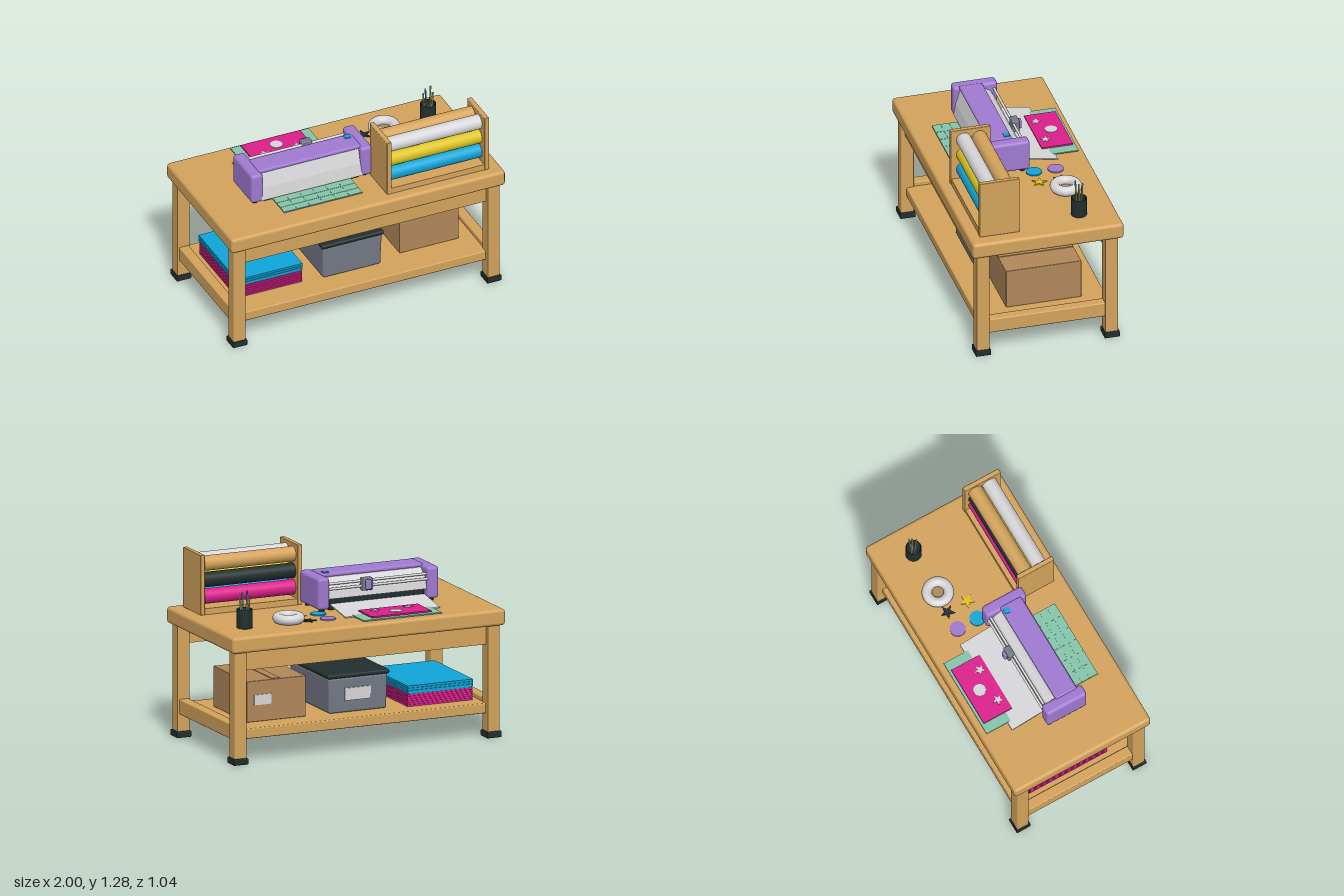
import * as THREE from 'three';
import { RoundedBoxGeometry } from 'three/addons/geometries/RoundedBoxGeometry.js';

const mat = (name, color) => new THREE.MeshStandardMaterial({ name, color });

export function createModel() {
  const root = new THREE.Group();
  root.name = 'craftTable';
  const wood = mat('wood', 0xd4a35c), black = mat('black', 0x222e2e), purple = mat('purple', 0xa079d2),
    light = mat('lightGrey', 0xd6d6d8), grey = mat('slateGrey', 0x747986), card = mat('cardboard', 0xb0875a),
    pink = mat('magenta', 0xdb1f8c), blue = mat('blue', 0x0fa5d8), yellow = mat('yellow', 0xdcc41f),
    mint = mat('mint', 0x85c4ab);

  const add = (name, geo, material, x = 0, y = 0, z = 0, parent = root) => {
    const m = new THREE.Mesh(geo, material);
    m.name = name;
    m.position.set(x, y, z);
    parent.add(m);
    return m;
  };
  // Box given by its limits, optionally with rounded edges
  const box = (name, material, x0, x1, y0, y1, z0, z1, r = 0) => {
    const s = [x1 - x0, y1 - y0, z1 - z0];
    const geo = r ? new RoundedBoxGeometry(...s, 3, r) : new THREE.BoxGeometry(...s);
    return add(name, geo, material, (x0 + x1) / 2, (y0 + y1) / 2, (z0 + z1) / 2);
  };
  // Cylinder lying along x
  const rod = (name, material, x0, x1, y, z, r, sides = 32) => {
    const geo = new THREE.CylinderGeometry(r, r, x1 - x0, sides).rotateZ(Math.PI / 2);
    return add(name, geo, material, (x0 + x1) / 2, y, z);
  };
  // Side profile of [z, y] points extruded along x
  const profile = (name, material, pts, x0, x1) => {
    const shape = new THREE.Shape(pts.map(p => new THREE.Vector2(...p)));
    const geo = new THREE.ExtrudeGeometry(shape, { depth: x1 - x0, bevelEnabled: false }).rotateY(-Math.PI / 2);
    return add(name, geo, material, x1);
  };
  // Flat star lying on a surface
  const star = (name, material, x, y, z, r, h) => {
    const pts = Array.from({ length: 10 }, (_, i) => {
      const a = Math.PI / 2 + i * Math.PI / 5, q = i % 2 ? r * 0.42 : r;
      return new THREE.Vector2(q * Math.cos(a), q * Math.sin(a));
    });
    const geo = new THREE.ExtrudeGeometry(new THREE.Shape(pts), { depth: h, bevelEnabled: false });
    return add(name, geo.rotateX(-Math.PI / 2), material, x, y, z);
  };
  const disc = (name, material, x, y, z, r, h) =>
    add(name, new THREE.CylinderGeometry(r, r, h, 32), material, x, y + h / 2, z);

  // Table
  box('tableTop', wood, -1, 1, 0.765, 0.876, -0.52, 0.52, 0.022);
  const square = (P, h) => new P([[-h, -h], [h, -h], [h, h], [-h, h]].map(p => new THREE.Vector2(...p)));
  const footShape = square(THREE.Shape, 0.046);
  footShape.holes.push(square(THREE.Path, 0.026));
  const footGeo = new THREE.ExtrudeGeometry(footShape,
    { depth: 0.032, bevelSize: 0.006, bevelThickness: 0.006, bevelSegments: 2 }).rotateX(-Math.PI / 2);
  for (const sx of [-1, 1]) {
    for (const sz of [-1, 1]) {
      const x = sx * 0.928, z = sz * 0.443;
      box('leg', wood, x - 0.044, x + 0.044, 0.015, 0.77, z - 0.044, z + 0.044, 0.006);
      add('foot', footGeo, black, x, 0.006, z);
    }
    box('sideRail', wood, sx * 0.925 - 0.035, sx * 0.925 + 0.035, 0.16, 0.263, -0.405, 0.405, 0.008);
    box('apron', wood, -0.89, 0.89, 0.635, 0.768, sx * 0.44 - 0.02, sx * 0.44 + 0.02);
  }
  box('shelf', wood, -0.91, 0.91, 0.163, 0.232, -0.45, 0.45, 0.008);

  // Paper stacks on the shelf
  for (let i = 0; i < 6; i++) {
    const y = 0.232 + i * 0.0145;
    box('magentaSheet', pink, -0.848, -0.372, y, y + 0.0115, -0.325, 0.27);
  }
  for (let i = 0; i < 3; i++) {
    const y = 0.328 + i * 0.0165;
    box('blueSheet', blue, -0.85, -0.37, y, y + 0.0135, -0.33, 0.27);
  }
  box('paperCore', pink, -0.842, -0.378, 0.232, 0.318, -0.319, 0.264);
  box('bluePaperCore', blue, -0.842, -0.378, 0.316, 0.37, -0.322, 0.264);

  // Storage bin, narrower at the bottom
  const binGeo = new RoundedBoxGeometry(0.435, 0.24, 0.61, 3, 0.015);
  const bp = binGeo.attributes.position;
  for (let i = 0; i < bp.count; i++) {
    const k = 1 - 0.03 * (0.5 - bp.getY(i) / 0.24);
    bp.setXYZ(i, bp.getX(i) * k, bp.getY(i), bp.getZ(i) * k);
  }
  binGeo.computeVertexNormals();
  add('binBody', binGeo, grey, -0.02, 0.352, 0);
  box('binLid', black, -0.247, 0.207, 0.47, 0.5, -0.315, 0.315, 0.012);
  box('binLabel', light, -0.11, 0.08, 0.315, 0.4, -0.309, -0.3);

  // Cardboard box
  box('cardboardBox', card, 0.355, 0.788, 0.232, 0.51, -0.285, 0.235, 0.005);
  box('boxTape', card, 0.543, 0.6, 0.509, 0.514, -0.28, 0.23);
  box('boxLabel', light, 0.61, 0.735, 0.345, 0.415, -0.289, -0.283);

  // Cutting machine
  for (const [x0, x1] of [[-0.708, -0.622], [0.092, 0.178]])
    box('endCap', purple, x0, x1, 0.893, 1.11, -0.105, 0.2, 0.022);
  box('machineBase', black, -0.61, 0.085, 0.883, 0.96, -0.075, 0.18);
  for (const x of [-0.665, 0.135]) for (const z of [-0.06, 0.15])
    disc('machineFoot', black, x, 0.874, z, 0.02, 0.025);
  profile('machineBody', light, [[0.198, 0.9], [0.185, 0.99], [0.155, 1.09], [0, 1.09], [-0.02, 1.072],
    [-0.055, 1.05], [-0.08, 1.01], [-0.088, 0.96], [0, 0.95], [0.12, 0.9]], -0.635, 0.105);
  box('machineLid', purple, -0.64, 0.11, 1.088, 1.116, 0.0, 0.16, 0.012);
  box('button', blue, 0.045, 0.087, 1.112, 1.121, 0.01, 0.05);
  rod('rail', light, -0.625, 0.095, 1.062, -0.08, 0.009, 16);
  rod('rail', light, -0.625, 0.095, 1.03, -0.095, 0.009, 16);
  box('carriage', grey, -0.217, -0.14, 1.0, 1.085, -0.12, -0.07, 0.008);
  box('carriageHolder', purple, -0.198, -0.158, 1.01, 1.075, -0.14, -0.115, 0.008);

  // Cutting mat with grid lines, output tray and cut card
  box('cuttingMat', mint, -0.55, 0.022, 0.884, 0.892, -0.48, 0.37);
  for (let i = 1; i < 6; i++) {
    const x = -0.55 + i * 0.0953;
    box('matLine', mint, x - 0.002, x + 0.002, 0.891, 0.894, 0.2, 0.365);
  }
  for (const z of [0.25, 0.31]) box('matLine', mint, -0.545, 0.017, 0.891, 0.894, z - 0.002, z + 0.002);
  profile('outputTray', light, [[-0.08, 0.918], [-0.08, 0.926], [-0.32, 0.888], [-0.32, 0.88]], -0.61, 0.083);
  box('magentaCard', pink, -0.482, -0.048, 0.897, 0.907, -0.462, -0.245);
  disc('cutCircle', light, -0.265, 0.906, -0.37, 0.042, 0.004);
  for (const x of [-0.385, -0.143]) star('cutStar', light, x, 0.906, -0.298, 0.037, 0.004);

  // Roll rack
  for (const [x0, x1] of [[0.165, 0.198], [0.877, 0.91]])
    box('rackSide', wood, x0, x1, 0.876, 1.285, 0.175, 0.45, 0.005);
  box('rackBase', wood, 0.19, 0.885, 0.876, 0.918, 0.18, 0.445);
  [[0.36, [blue, yellow, light]], [0.252, [pink, black, wood]]].forEach(([z, colours]) =>
    colours.forEach((c, i) => rod('vinylRoll', c, 0.197, 0.878, 0.985 + i * 0.1125, z, 0.051)));

  // Cut shapes on the table
  disc('purpleDisc', purple, 0.19, 0.875, -0.275, 0.053, 0.009);
  disc('blueDisc', blue, 0.19, 0.875, -0.125, 0.053, 0.009);
  star('blackStar', black, 0.327, 0.875, -0.273, 0.052, 0.009);
  star('yellowStar', yellow, 0.33, 0.875, -0.123, 0.052, 0.009);

  // Tape ring with cardboard core
  const ring = new THREE.TorusGeometry(0.073, 0.034, 20, 48).rotateX(Math.PI / 2);
  add('tapeRing', ring, light, 0.473, 0.911, -0.265);
  disc('tapeCore', card, 0.473, 0.875, -0.265, 0.045, 0.025);

  // Pen cup
  const cup = [[0, 0], [0.05, 0], [0.053, 0.004], [0.053, 0.128], [0.046, 0.128], [0.046, 0.01], [0, 0.01]];
  const cupGeo = new THREE.LatheGeometry(cup.map(p => new THREE.Vector2(...p)), 32);
  add('penCup', cupGeo, black, 0.795, 0.875, -0.265).material.side = THREE.DoubleSide;
  [light, yellow, blue, wood, light, mint].forEach((c, i) => {
    const a = i * Math.PI / 3 + 0.3, h = 0.2 + 0.018 * (i % 3);
    const pen = add('pen', new THREE.CylinderGeometry(0.0055, 0.0055, h, 10), c,
      0.795 + 0.027 * Math.cos(a), 0.886 + h / 2, -0.265 + 0.02 * Math.sin(a));
    pen.rotation.set(0.05 * Math.sin(a), 0, -0.08 * Math.cos(a));
  });

  return root;
}
